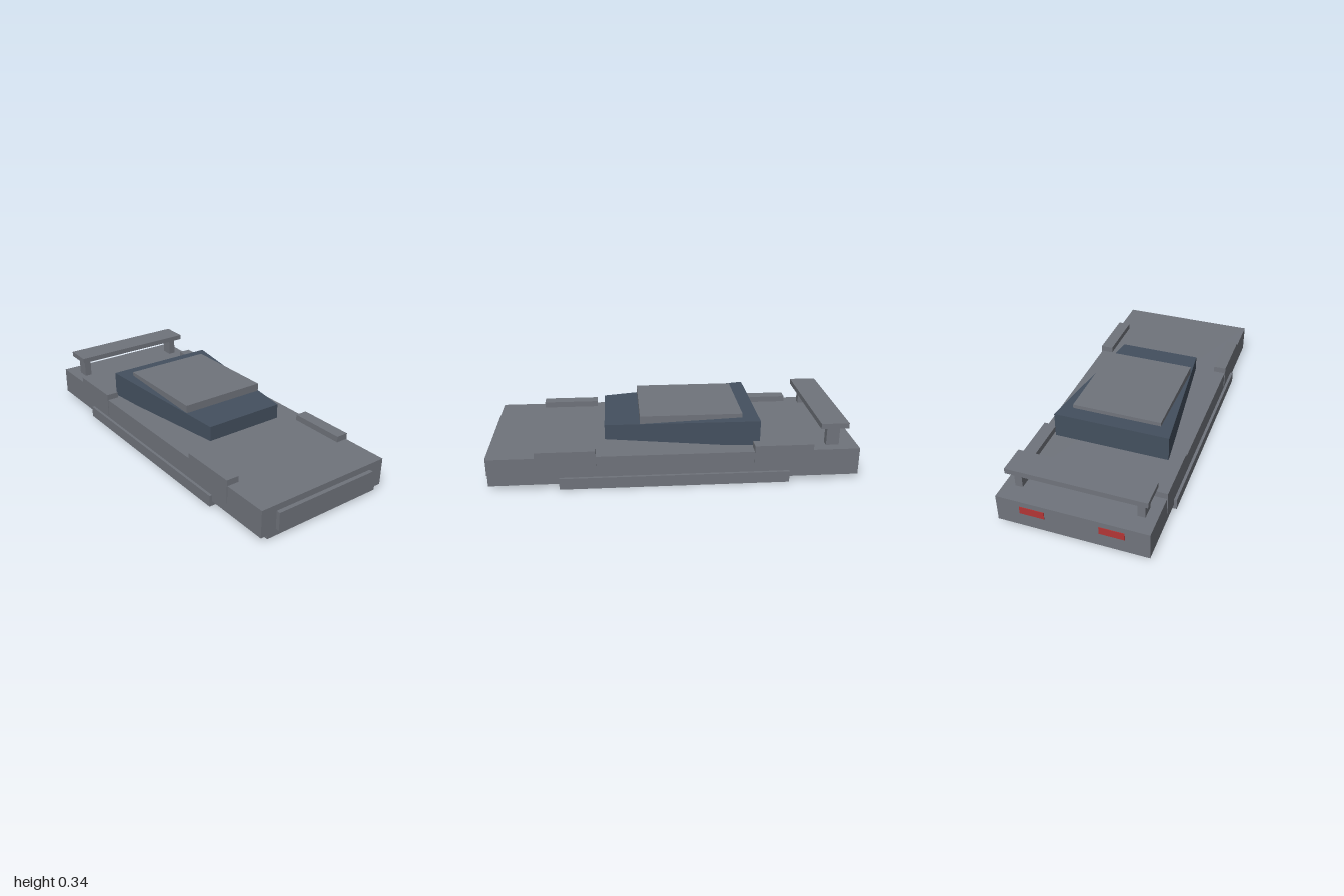
import * as THREE from 'three';

export function createModel() {
  const car = new THREE.Group();
  car.name = 'lowPolyCar';
  const paint = (color) => new THREE.MeshStandardMaterial({ color, flatShading: true });
  const grey = paint(0x70747c);
  const glass = paint(0x44505f);
  const red = paint(0xb33535);

  // Box given by its extents along each axis
  function box(name, [x0, x1], [y0, y1], [z0, z1], material = grey) {
    const mesh = new THREE.Mesh(new THREE.BoxGeometry(x1 - x0, y1 - y0, z1 - z0), material);
    mesh.position.set((x0 + x1) / 2, (y0 + y1) / 2, (z0 + z1) / 2);
    mesh.name = name;
    car.add(mesh);
    return mesh;
  }

  // The same box on the left (+x) and right (-x) sides
  function pair(name, [x0, x1], y, z, material) {
    box(name + 'Left', [x0, x1], y, z, material);
    box(name + 'Right', [-x1, -x0], y, z, material);
  }

  // Hull, floor and nose
  box('body', [-0.395, 0.395], [0.027, 0.177], [-0.997, 0.978]);
  box('floorAndSkirts', [-0.41, 0.41], [0, 0.062], [-0.62, 0.603]);
  box('frontPanel', [-0.306, 0.306], [0.043, 0.143], [0.95, 1]);
  box('frontSplitter', [-0.356, 0.356], [0.006, 0.03], [0.865, 0.978]);

  // Wheel arches
  pair('frontFender', [0.33, 0.399], [0.08, 0.21], [0.408, 0.725]);
  pair('rearFender', [0.33, 0.399], [0.08, 0.21], [-0.745, -0.43]);

  // Cabin: a box widening and deepening towards the rear
  const cabin = box('cabin', [-1, 1], [-1, 1], [-0.47, 0.36], glass);
  const p = cabin.geometry.attributes.position;
  for (let i = 0; i < p.count; i++) {
    const front = p.getZ(i) > 0;
    p.setX(i, p.getX(i) * (front ? 0.228 : 0.316));
    p.setY(i, 0.243 + p.getY(i) * (front ? 0.041 : 0.074));
  }
  cabin.geometry.computeVertexNormals();

  // Roof panel
  box('roof', [-0.245, 0.245], [0.285, 0.335], [-0.383, 0.17]);

  // Rear wing on two posts
  box('rearWing', [-0.363, 0.363], [0.282, 0.311], [-0.937, -0.787]);
  pair('wingPost', [0.297, 0.337], [0.17, 0.285], [-0.897, -0.827]);

  // Tail lights
  pair('tailLight', [0.14, 0.27], [0.105, 0.147], [-1, -0.98], red);

  return car;
}
